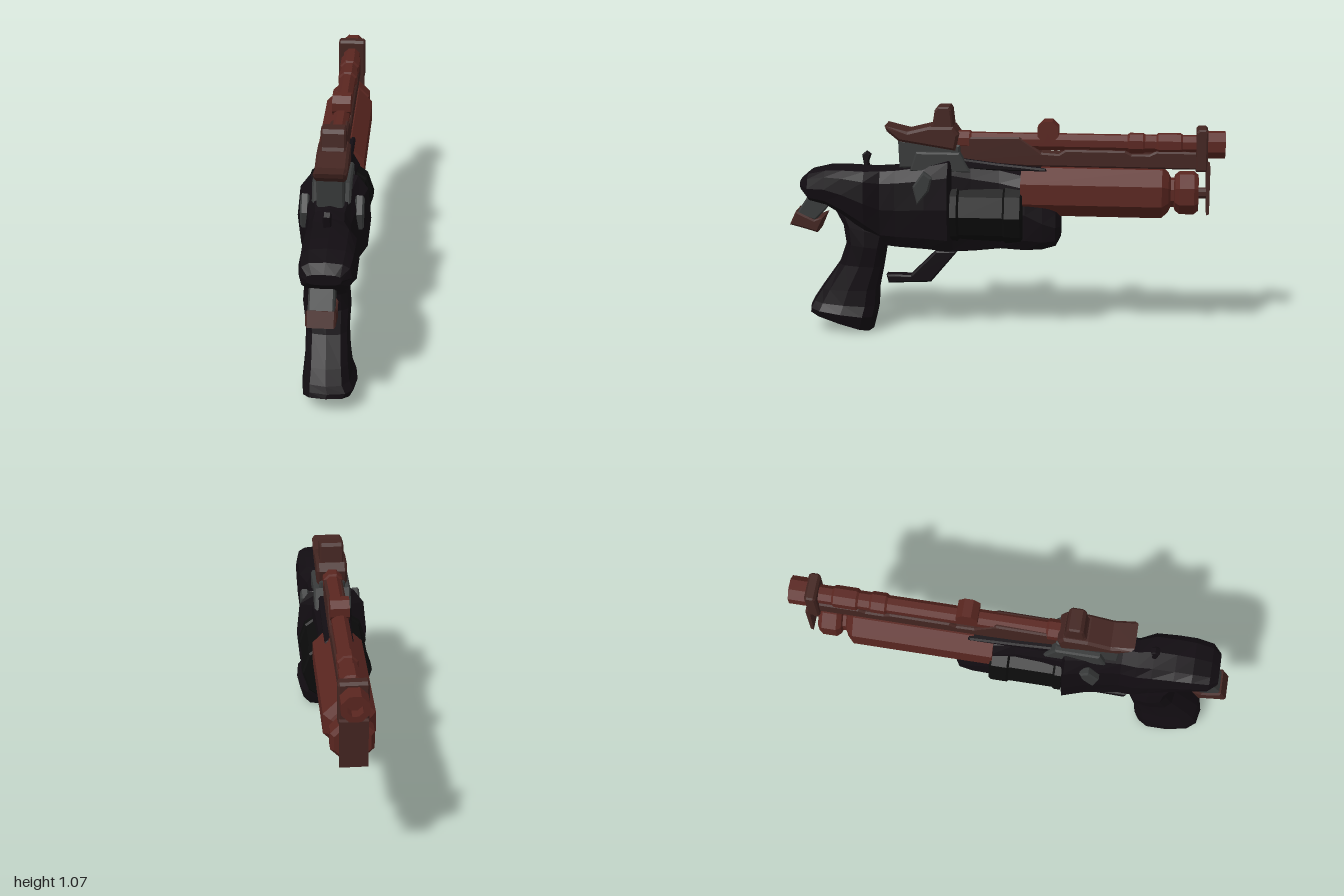
import * as THREE from 'three';

const mat = (color) => new THREE.MeshStandardMaterial({ color, flatShading: true });

export function createModel() {
  const model = new THREE.Group();
  const black = mat(0x120d12), drumBlack = mat(0x0b0b0b), grey = mat(0x383a3a);
  const red = mat(0x5a2620), brown = mat(0x432521);

  const add = (name, geo, material, x = 0, y = 0, z = 0) => {
    const mesh = new THREE.Mesh(geo, material);
    mesh.name = name;
    mesh.position.set(x, y, z);
    model.add(mesh);
    return mesh;
  };

  // Side outline in [z, y], extruded to width w across x
  const plate = (points, w, bevel = 0.008) => {
    const shape = new THREE.Shape(points.map(([z, y]) => new THREE.Vector2(z, y)));
    const geo = new THREE.ExtrudeGeometry(shape, {
      depth: w - 2 * bevel, bevelEnabled: bevel > 0, bevelSize: bevel,
      bevelThickness: bevel, bevelOffset: -bevel, bevelSegments: 1,
    });
    geo.translate(0, 0, -(w - 2 * bevel) / 2);
    return geo.rotateY(-Math.PI / 2);
  };

  // Faceted turned part along z, profile in [radius, z] from muzzle to rear
  const turned = (profile, sides = 8) => new THREE.LatheGeometry(
    profile.map(([r, z]) => new THREE.Vector2(r, z)), sides, Math.PI / sides).rotateX(Math.PI / 2);

  // Loft of rounded-box sections: [zA, yA, zB, yB, halfWidth, xOffset]
  const loft = (sections, n = 12) => {
    const pos = [], index = [];
    const soft = (v) => Math.sign(v) * Math.abs(v) ** 0.65;
    for (const [zA, yA, zB, yB, hw, xo = 0] of sections) {
      for (let i = 0; i < n; i++) {
        const a = (i / n) * Math.PI * 2, s = soft(Math.sin(a)) / 2;
        pos.push(xo + hw * soft(Math.cos(a)), (yA + yB) / 2 + s * (yB - yA), (zA + zB) / 2 + s * (zB - zA));
      }
    }
    const last = (sections.length - 1) * n;
    for (let r = 0; r < last; r += n) {
      for (let i = 0; i < n; i++) {
        const j = (i + 1) % n;
        index.push(r + i, r + j, r + n + i, r + j, r + n + j, r + n + i);
      }
    }
    for (let i = 1; i < n - 1; i++) {
      index.push(0, i + 1, i, last, last + i, last + i + 1);
    }
    const geo = new THREE.BufferGeometry();
    geo.setAttribute('position', new THREE.Float32BufferAttribute(pos, 3));
    geo.setIndex(index);
    geo.computeVertexNormals();
    return geo;
  };

  // Frame: [z, bottom, top, halfWidth, xOffset]
  add('frame', loft([
    [-0.26, 0.47, 0.59, 0.06], [-0.24, 0.43, 0.63, 0.09], [-0.18, 0.41, 0.69, 0.1],
    [-0.1, 0.4, 0.78, 0.105], [0.02, 0.405, 0.805, 0.085], [0.15, 0.39, 0.83, 0.09],
    [0.235, 0.385, 0.85, 0.1], [0.25, 0.39, 0.85, 0.165], [0.36, 0.395, 0.82, 0.125],
    [0.5, 0.4, 0.795, 0.1], [0.57, 0.41, 0.79, 0.105], [0.64, 0.48, 0.79, 0.122, 0.015],
    [0.74, 0.56, 0.79, 0.122, 0.015], [0.82, 0.61, 0.785, 0.12, 0.015],
    [0.9, 0.63, 0.765, 0.11, 0.015], [0.94, 0.68, 0.73, 0.075, 0.01],
  ].map(([z, b, t, hw, xo]) => [z, b, z, t, hw, xo])), black);
  add('topStrap', plate([[-0.2, 0.785], [0.2, 0.79], [0.2, 0.84], [0.03, 0.82], [-0.19, 0.8]], 0.13), black);

  // Grip, front edge to back edge, from the frame down
  add('grip', loft([
    [0.48, 0.58, 0.82, 0.63, 0.085, 0], [0.53, 0.47, 0.755, 0.52, 0.1, 0],
    [0.55, 0.41, 0.74, 0.43, 0.105, 0], [0.565, 0.32, 0.775, 0.33, 0.095, 0.005],
    [0.587, 0.21, 0.86, 0.21, 0.1, 0.01], [0.59, 0.13, 0.9, 0.15, 0.108, 0.012],
    [0.6, 0.08, 0.915, 0.12, 0.12, 0.02], [0.62, 0.005, 0.92, 0.1, 0.11, 0.012],
  ]), black);
  add('triggerGuard', plate([[0.555, 0.27], [0.545, 0.23], [0.345, 0.24], [0.22, 0.39],
    [0.32, 0.39], [0.44, 0.27]], 0.06), black);
  add('catch', plate([[0.63, 0.78], [0.63, 0.81], [0.62, 0.84], [0.64, 0.855], [0.66, 0.84], [0.65, 0.78]], 0.035, 0.005), black);

  // Drum between the straps, with a raised front and rear band
  add('drum', turned([[0, -0.09], [0.152, -0.09], [0.16, -0.08], [0.16, -0.01], [0.152, 0],
    [0.152, 0.2], [0.16, 0.21], [0.16, 0.24], [0, 0.24]], 10), drumBlack, 0, 0.585, 0);

  // Side levers beside the drum
  for (const side of [-1, 1]) {
    add('sideLever', plate([[0.41, 0.72], [0.36, 0.79], [0.32, 0.76], [0.335, 0.7], [0.39, 0.635]], 0.04), grey, side * 0.12);
  }

  // Hammer at the rear
  add('hammerArm', plate([[0.91, 0.65], [0.77, 0.65], [0.88, 0.53], [0.97, 0.56]], 0.11), grey);
  add('hammerSpur', plate([[0.97, 0.575], [0.885, 0.535], [0.835, 0.555], [0.87, 0.475], [0.94, 0.495], [1, 0.51]], 0.126), brown);

  // Rear sight and its mount
  add('sightMount', plate([[0.485, 0.92], [0.48, 0.79], [0.2, 0.79], [0.2, 0.9]], 0.12), grey);
  add('sightMountBase', plate([[0.4, 0.87], [0.43, 0.78], [0.15, 0.78], [0.2, 0.87]], 0.17), grey);
  add('rearSight', plate([[0.545, 0.985], [0.535, 0.96], [0.48, 0.915], [0.22, 0.875], [0.205, 0.95],
    [0.23, 0.985], [0.34, 0.985], [0.44, 0.96]], 0.142, 0.012), brown);
  add('sightTower', plate([[0.34, 0.97], [0.325, 1.0], [0.315, 1.06], [0.3, 1.075], [0.25, 1.075],
    [0.24, 1.06], [0.23, 0.97]], 0.11), brown);

  // Flat rail with scalloped upper edge
  add('rail', plate([[0.22, 0.82], [0.22, 0.935], [-0.07, 0.94], [-0.13, 0.9], [-0.17, 0.87], [-0.25, 0.865],
    [-0.28, 0.885], [-0.55, 0.885], [-0.58, 0.87], [-0.66, 0.87], [-0.69, 0.885], [-0.9, 0.885],
    [-0.9, 0.805], [-0.1, 0.805]], 0.085), brown);

  // Upper barrel with collars and an open muzzle
  add('upperBarrel', turned([[0, -0.95], [0.035, -0.95], [0.035, -1], [0.063, -1], [0.063, -0.9],
    [0.042, -0.9], [0.042, -0.81], [0.05, -0.8], [0.05, -0.7], [0.042, -0.69], [0.042, -0.64],
    [0.048, -0.63], [0.048, -0.57], [0.04, -0.56], [0.04, 0.15], [0.047, 0.16], [0.047, 0.22], [0, 0.22]]),
  red, 0, 0.915, 0);
  const knob = new THREE.CylinderGeometry(0.052, 0.052, 0.085, 8, 1);
  add('sightKnob', knob.rotateY(Math.PI / 8).rotateZ(Math.PI / 2), red, 0, 0.965, -0.2);

  // Lower barrel with neck and cap
  add('lowerBarrel', turned([[0, -0.885], [0.083, -0.885], [0.1, -0.865], [0.1, -0.8], [0.083, -0.78],
    [0.068, -0.775], [0.068, -0.76], [0.09, -0.75], [0.121, -0.72], [0.121, -0.08], [0, -0.08]]),
  red, 0, 0.69, 0);

  // Front bracket joining both barrels
  add('frontBracket', plate([[-0.87, 0.8], [-0.87, 0.98], [-0.88, 0.992], [-0.912, 0.992], [-0.922, 0.98],
    [-0.922, 0.8]], 0.13), brown);
  add('bracketStrap', plate([[-0.915, 0.83], [-0.935, 0.82], [-0.935, 0.605], [-0.922, 0.6]], 0.12, 0), brown);
  add('bracketPin', turned([[0, -0.93], [0.025, -0.93], [0.025, -0.87], [0, -0.87]]), brown, 0, 0.69, 0);

  return model;
}
